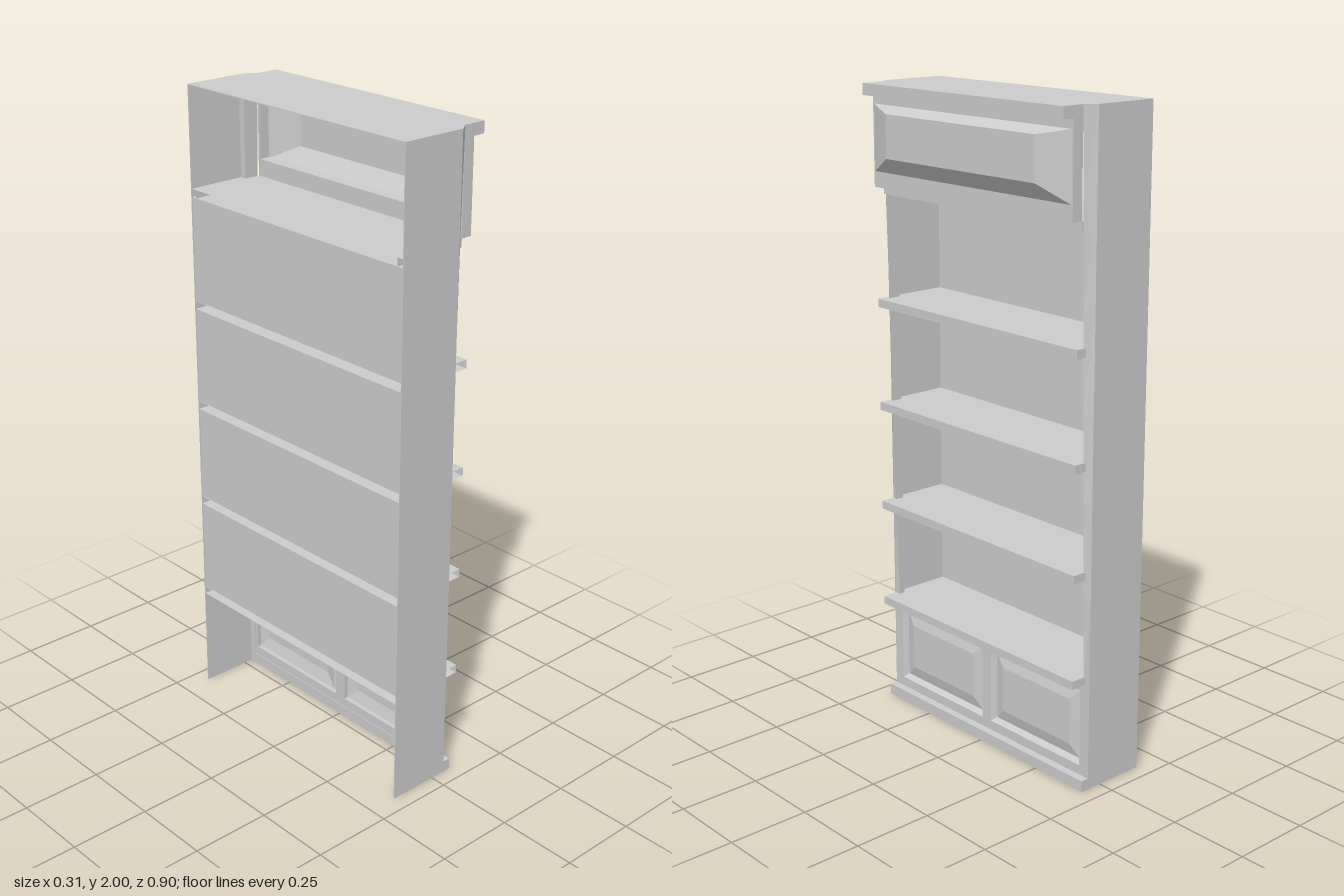
import * as THREE from 'three';

// Thin and hollow joinery, so both sides of each surface show
const material = new THREE.MeshStandardMaterial({ color: 0xcccccc, flatShading: true, side: THREE.DoubleSide });
const BACK = -0.158, FRONT = 0.157, WALL = 0.449, INNER = 0.446, POST = 0.425;

export function createModel() {
  const model = new THREE.Group();

  function add(name, geometry) {
    const mesh = new THREE.Mesh(geometry, material);
    mesh.name = name;
    model.add(mesh);
  }

  // Box from its limits; skip lists open faces (0 +x, 1 -x, 2 +y, 3 -y, 4 +z, 5 -z)
  function board(name, [x0, x1], [y0, y1], [z0, z1], skip = []) {
    const g = new THREE.BoxGeometry(x1 - x0, y1 - y0, z1 - z0);
    g.translate((x0 + x1) / 2, (y0 + y1) / 2, (z0 + z1) / 2);
    g.setIndex(Array.from(g.index.array).filter((v, i) => !skip.includes(Math.floor(i / 6))));
    g.clearGroups();
    add(name, g);
  }

  // Skin over four-cornered rings, closed at the last ring
  function loft(name, rings) {
    const p = [];
    const quad = (a, b, c, d) => p.push(...a, ...b, ...c, ...a, ...c, ...d);
    for (let r = 0; r < rings.length - 1; r++) {
      const a = rings[r], b = rings[r + 1];
      for (let i = 0; i < 4; i++) {
        const j = (i + 1) % 4;
        quad(a[i], a[j], b[j], b[i]);
      }
    }
    quad(...rings[rings.length - 1]);
    const g = new THREE.BufferGeometry();
    g.setAttribute('position', new THREE.Float32BufferAttribute(p, 3));
    g.computeVertexNormals();
    add(name, g);
  }

  // Upright rectangle facing +x
  const rect = (x, y0, y1, z0, z1) => [[x, y0, z0], [x, y1, z0], [x, y1, z1], [x, y0, z1]];

  // Board facing +x with rectangular openings; rectangles are [z0, z1, y0, y1]
  function frame(name, x0, x1, outer, holes) {
    const trace = (path, [z0, z1, y0, y1]) =>
      path.moveTo(-z0, y0).lineTo(-z1, y0).lineTo(-z1, y1).lineTo(-z0, y1).closePath();
    const shape = trace(new THREE.Shape(), outer);
    shape.holes = holes.map((h) => trace(new THREE.Path(), h));
    const g = new THREE.ExtrudeGeometry(shape, { depth: x1 - x0, bevelEnabled: false });
    add(name, g.rotateY(Math.PI / 2).translate(x0, 0, 0));
  }

  // Thin side walls with chamfered front posts that lean forward towards the top
  for (const s of [1, -1]) {
    board('sideWall', [BACK, 0.05], [0, 2], s > 0 ? [INNER, WALL] : [-WALL, -INNER]);
    const ring = (y, front) => {
      const c = [[0.03, y, s * POST], [0.03, y, s * WALL], [0.05, y, s * WALL], [front, y, s * POST]];
      return s > 0 ? c : c.reverse();
    };
    const rings = [ring(0, 0.05)];
    for (let i = 0; i <= 6; i++) rings.push(ring(0.33 + (1.67 * i) / 6, 0.05 + (0.033 * i) / 6));
    loft('frontPost', rings);
  }

  // Hollow shelves with overhanging front lips, open at the back
  const shelfLevels = [0.33, 0.657, 0.985, 1.315];
  for (const y of shelfLevels) {
    board('shelf', [BACK, 0.05], [y, y + 0.026], [-INNER, INNER], [0, 1]);
    board('shelfLip', [0.05, 0.1], [y, y + 0.026], [-0.43, 0.442], [1, 4]);
  }
  board('topShelf', [BACK, 0.083], [1.665, 1.69], [-POST, POST], [1]);
  board('topShelfRear', [BACK, 0.03], [1.665, 1.69], [-INNER, INNER], [0, 1]);

  // Back panels between the shelves
  [...shelfLevels, 1.665].forEach((y, i, all) => {
    if (i) board('backPanel', [BACK + 0.002, BACK + 0.008], [all[i - 1] + 0.026, y], [-INNER, INNER]);
  });

  // Base front with two raised door panels set into moulded recesses
  const doors = [[0.02, 0.412], [-0.412, -0.02]];
  frame('baseFrame', 0.032, 0.05, [-WALL, WALL, 0.03, 0.33], doors.map((d) => [...d, 0.065, 0.31]));
  for (const [z0, z1] of doors) {
    const ring = (x, d) => rect(x, 0.065 + d, 0.31 - d, z0 + d, z1 - d);
    loft('doorPanel', [ring(0.05, 0), ring(0.034, 0.012), ring(0.044, 0.05)]);
  }
  board('plinth', [0.03, 0.075], [0, 0.035], [-WALL, WALL]);

  // Header frame with its hollow tapered panel, cornice and roof
  frame('headerFrame', 0.083, 0.118, [-POST, POST, 1.69, 1.965], [[-0.418, 0.418, 1.742, 1.936]]);
  loft('headerPanel', [rect(0.118, 1.738, 1.938, -0.42, 0.42), rect(FRONT, 1.788, 1.918, -0.318, 0.318)]);
  board('cornice', [0.083, 0.156], [1.965, 2], [-POST, POST]);
  board('roof', [BACK, 0.05], [1.997, 2], [-WALL, WALL]);
  board('roofFront', [0.05, 0.083], [1.997, 2], [-POST, POST]);

  return model;
}
